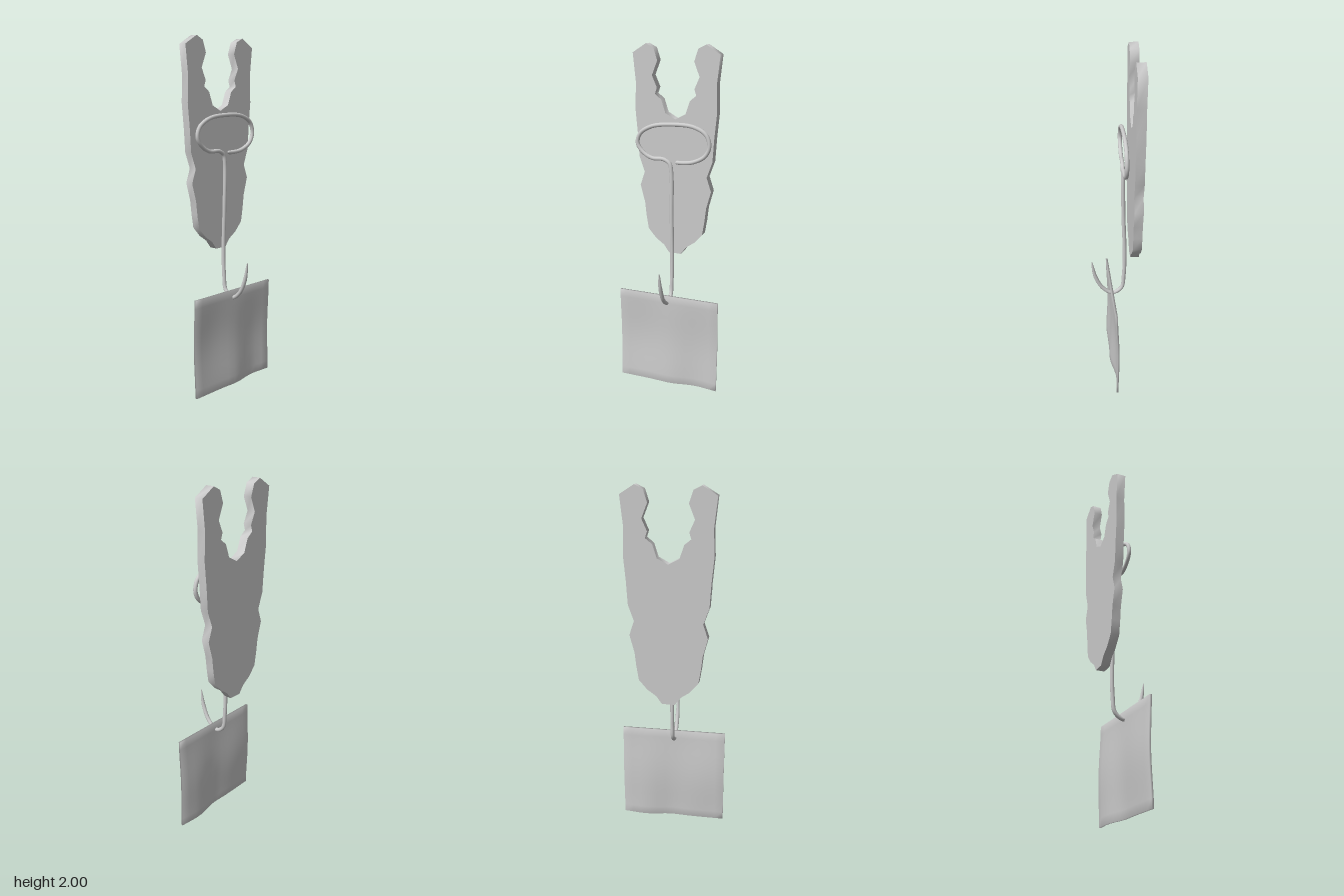
import * as THREE from 'three';
import { mergeVertices, toCreasedNormals } from 'three/addons/utils/BufferGeometryUtils.js';

const material = new THREE.MeshStandardMaterial({ color: 0xcccccc });

function addMesh(group, name, geometry) {
  const mesh = new THREE.Mesh(geometry, material);
  mesh.name = name;
  group.add(mesh);
}

// Forked flat plate: one half of the outline, mirrored across x = 0
function plateGeometry() {
  const half = [
    [0.037, 0.805], [0.07, 0.85], [0.12, 0.885], [0.168, 0.94], [0.181, 1.02],
    [0.19, 1.1], [0.217, 1.2], [0.19, 1.28], [0.222, 1.37], [0.23, 1.5],
    [0.243, 1.64], [0.238, 1.79], [0.255, 1.95], [0.175, 2.0], [0.13, 1.977],
    [0.108, 1.91], [0.14, 1.83], [0.111, 1.765], [0.122, 1.73], [0.085, 1.7],
    [0.06, 1.627],
  ];
  const right = half.map(([x, y]) => new THREE.Vector2(x, y));
  const left = half.map(([x, y]) => new THREE.Vector2(-x, y)).reverse();
  const shape = new THREE.Shape([...right, new THREE.Vector2(0, 1.595), ...left]);
  const geometry = new THREE.ExtrudeGeometry(shape, { depth: 0.05, bevelEnabled: false });
  geometry.translate(0, 0, -0.14);
  return toCreasedNormals(geometry, 1.2);
}

// Bent wire: oval loop, long shank and upturned hook with a tapered point
function wireGeometry() {
  const z = -0.048;
  const points = [
    [0.015, 1.362, z], [0.07, 1.363, z], [0.127, 1.373, z], [0.192, 1.41, z],
    [0.217, 1.465, z], [0.197, 1.528, z], [0.127, 1.566, z], [0, 1.573, z],
    [-0.127, 1.555, z], [-0.197, 1.51, z], [-0.212, 1.455, z], [-0.178, 1.405, z],
    [-0.122, 1.376, z], [-0.052, 1.374, z], [-0.017, 1.352, z], [-0.006, 1.3, z],
    [-0.006, 1.05, -0.053], [-0.006, 0.81, -0.061], [-0.006, 0.65, -0.057],
    [-0.006, 0.56, -0.043], [-0.006, 0.526, 0.01], [-0.006, 0.565, 0.07],
    [-0.006, 0.65, 0.113], [-0.006, 0.755, 0.133],
  ].map((p) => new THREE.Vector3(...p));
  const path = new THREE.CatmullRomCurve3(points, false, 'centripetal');
  const rings = 260, sides = 12;
  const geometry = new THREE.TubeGeometry(path, rings, 0.0115, sides);
  const position = geometry.attributes.position;
  const v = new THREE.Vector3();
  for (let i = 0; i <= rings; i++) {
    const t = i / rings;
    const centre = path.getPointAt(t);
    const scale = Math.min(1, Math.sqrt(t / 0.005), Math.sqrt((1 - t) / 0.05));
    for (let j = 0; j <= sides; j++) {
      const k = i * (sides + 1) + j;
      v.fromBufferAttribute(position, k).sub(centre).multiplyScalar(scale).add(centre);
      position.setXYZ(k, v.x, v.y, v.z);
    }
  }
  return geometry;
}

// Thin square of cloth, straight along the top and rippling towards the bottom
function clothGeometry() {
  const width = 0.61, height = 0.573;
  const geometry = new THREE.BoxGeometry(width, height, 0.012, 12, 12, 1);
  geometry.translate(0, height / 2, 0);
  geometry.deleteAttribute('uv');
  geometry.deleteAttribute('normal');
  const merged = mergeVertices(geometry);
  const position = merged.attributes.position;
  const bump = (d, w) => Math.exp(-((d / w) ** 2));
  for (let i = 0; i < position.count; i++) {
    const u = position.getX(i) / (width / 2);
    const down = 1 - position.getY(i) / height;
    const ripple = 0.008 * bump(u - 0.05, 0.25) - 0.017 * bump(u - 0.58, 0.35);
    const dent = -0.007 * bump(u + 0.6, 0.35) * Math.sin(Math.PI * down);
    const sway = 0.004 * Math.cos(2 * Math.PI * down);
    const z = 0.013 - 0.008 * u + sway + dent + ripple * Math.min(1, down * 1.1);
    position.setZ(i, position.getZ(i) + z);
  }
  merged.computeVertexNormals();
  return merged;
}

export function createModel() {
  const group = new THREE.Group();
  group.name = 'hookAndCloth';
  addMesh(group, 'forkedPlate', plateGeometry());
  addMesh(group, 'wireHook', wireGeometry());
  addMesh(group, 'hangingCloth', clothGeometry());
  return group;
}
